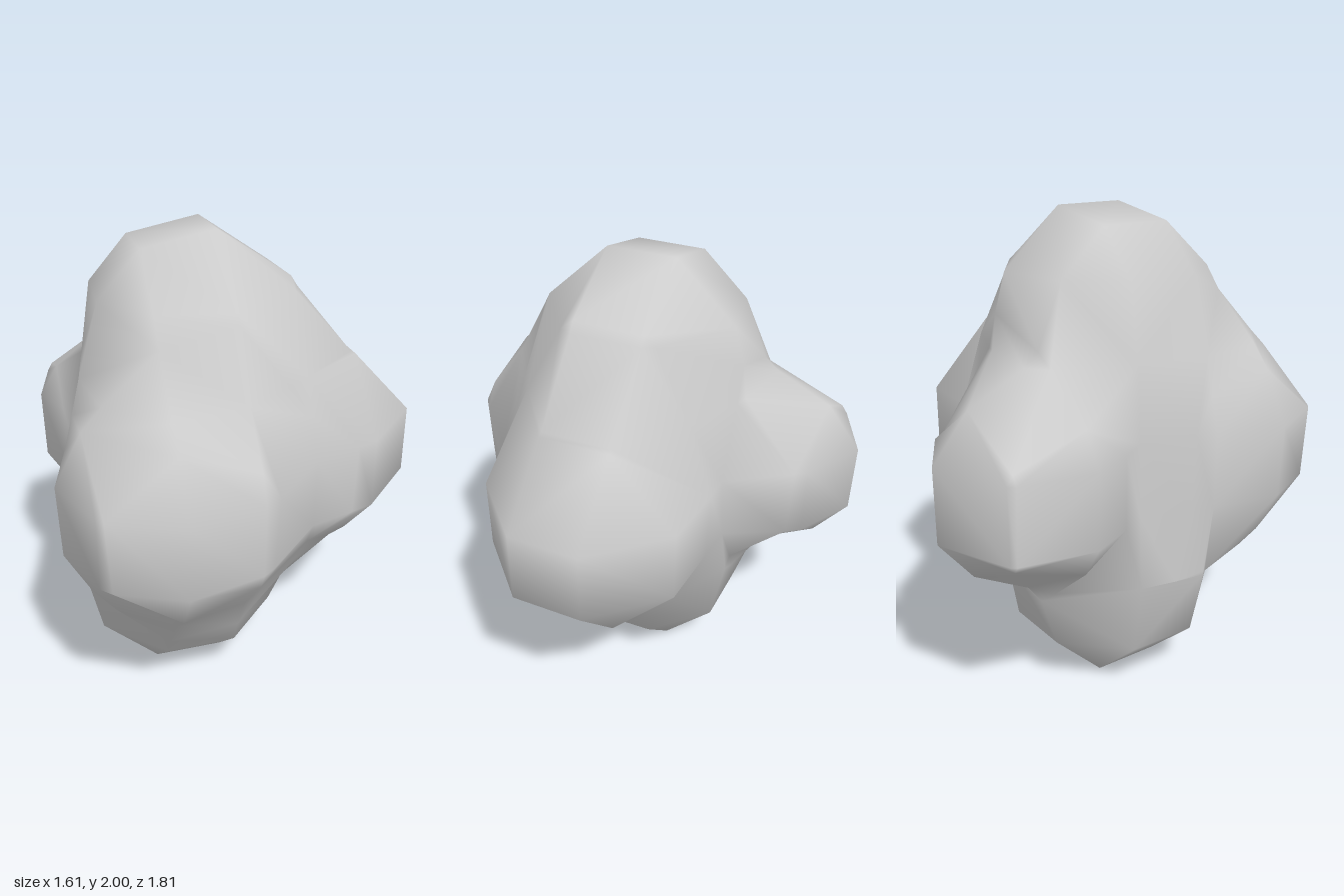
import * as THREE from 'three';

// Five blended lobes: centre and radius
const lobes = [
  { name: 'top', c: [-0.16, 1.57, 0.01], r: 0.46 },
  { name: 'bottom', c: [-0.24, 0.395, 0.01], r: 0.45 },
  { name: 'left', c: [0.38, 0.985, 0], r: 0.475 },
  { name: 'front', c: [-0.345, 1.0, 0.44], r: 0.482 },
  { name: 'back', c: [-0.42, 0.99, -0.545], r: 0.395 },
];

// Soft blend of the lobes, positive inside the body
function field(p) {
  let sum = -1;
  for (const { c, r } of lobes) {
    const d2 = (p[0] - c[0]) ** 2 + (p[1] - c[1]) ** 2 + (p[2] - c[2]) ** 2;
    sum += Math.exp(-1.5 * (d2 / (r * r) - 1));
  }
  return sum;
}

// Coarse polygon skin: cut every grid cell by the field and trace the cut loops
function skinGeometry() {
  const step = 0.306, n = 9;
  const origin = [-1.308, -0.392, -1.066];
  const node = (i, j, k) => (i * (n + 1) + j) * (n + 1) + k;
  const points = [], values = [];
  for (let i = 0; i <= n; i++)
    for (let j = 0; j <= n; j++)
      for (let k = 0; k <= n; k++) {
        const p = [i, j, k].map((v, a) => origin[a] + v * step);
        points.push(p);
        values.push(field(p));
      }

  // One shared vertex per crossed grid edge, found by bisection
  const positions = [], indices = [], known = new Map();
  function crossing(a, b) {
    const key = Math.min(a, b) * 10000 + Math.max(a, b);
    if (!known.has(key)) {
      let inside = values[a] > 0 ? points[a] : points[b];
      let outside = values[a] > 0 ? points[b] : points[a];
      for (let s = 0; s < 20; s++) {
        const mid = inside.map((v, x) => (v + outside[x]) / 2);
        if (field(mid) > 0) inside = mid;
        else outside = mid;
      }
      known.set(key, positions.length / 3);
      positions.push(...inside);
    }
    return known.get(key);
  }

  const square = [[0, 0], [1, 0], [1, 1], [0, 1]];
  for (let i = 0; i < n; i++)
    for (let j = 0; j < n; j++)
      for (let k = 0; k < n; k++) {
        const next = new Map();
        for (let axis = 0; axis < 3; axis++)
          for (let side = 0; side < 2; side++) {
            // Face corners, counter-clockwise from outside the cell
            const ring = square.map(([u, v]) => {
              const q = [i, j, k];
              q[axis] += side;
              q[(axis + 1) % 3] += u;
              q[(axis + 2) % 3] += v;
              return node(...q);
            });
            if (!side) ring.reverse();
            for (let e = 0; e < 4; e++) {
              if (!(values[ring[e]] > 0 && values[ring[(e + 1) % 4]] <= 0)) continue;
              let f = (e + 1) % 4;
              while (values[ring[(f + 1) % 4]] <= 0) f = (f + 1) % 4;
              const leave = crossing(ring[e], ring[(e + 1) % 4]);
              next.set(crossing(ring[f], ring[(f + 1) % 4]), leave);
            }
          }
        // Fill each loop with a fan
        while (next.size) {
          const loop = [];
          let v = next.keys().next().value;
          while (next.has(v)) {
            loop.push(v);
            const w = next.get(v);
            next.delete(v);
            v = w;
          }
          for (let t = 1; t < loop.length - 1; t++) indices.push(loop[0], loop[t], loop[t + 1]);
        }
      }

  const geometry = new THREE.BufferGeometry();
  geometry.setAttribute('position', new THREE.Float32BufferAttribute(positions, 3));
  geometry.setIndex(indices);
  geometry.computeVertexNormals();
  return geometry;
}

export function createModel() {
  const group = new THREE.Group();
  group.name = 'lobedBlob';
  const paleGrey = new THREE.MeshStandardMaterial({ color: 0xcccccc });
  paleGrey.name = 'paleGrey';

  const body = new THREE.Mesh(skinGeometry(), paleGrey);
  body.name = 'body';

  // Rest on the ground, centred
  body.geometry.computeBoundingBox();
  const box = body.geometry.boundingBox, mid = box.getCenter(new THREE.Vector3());
  body.position.set(-mid.x, -box.min.y, -mid.z);
  group.add(body);
  return group;
}
